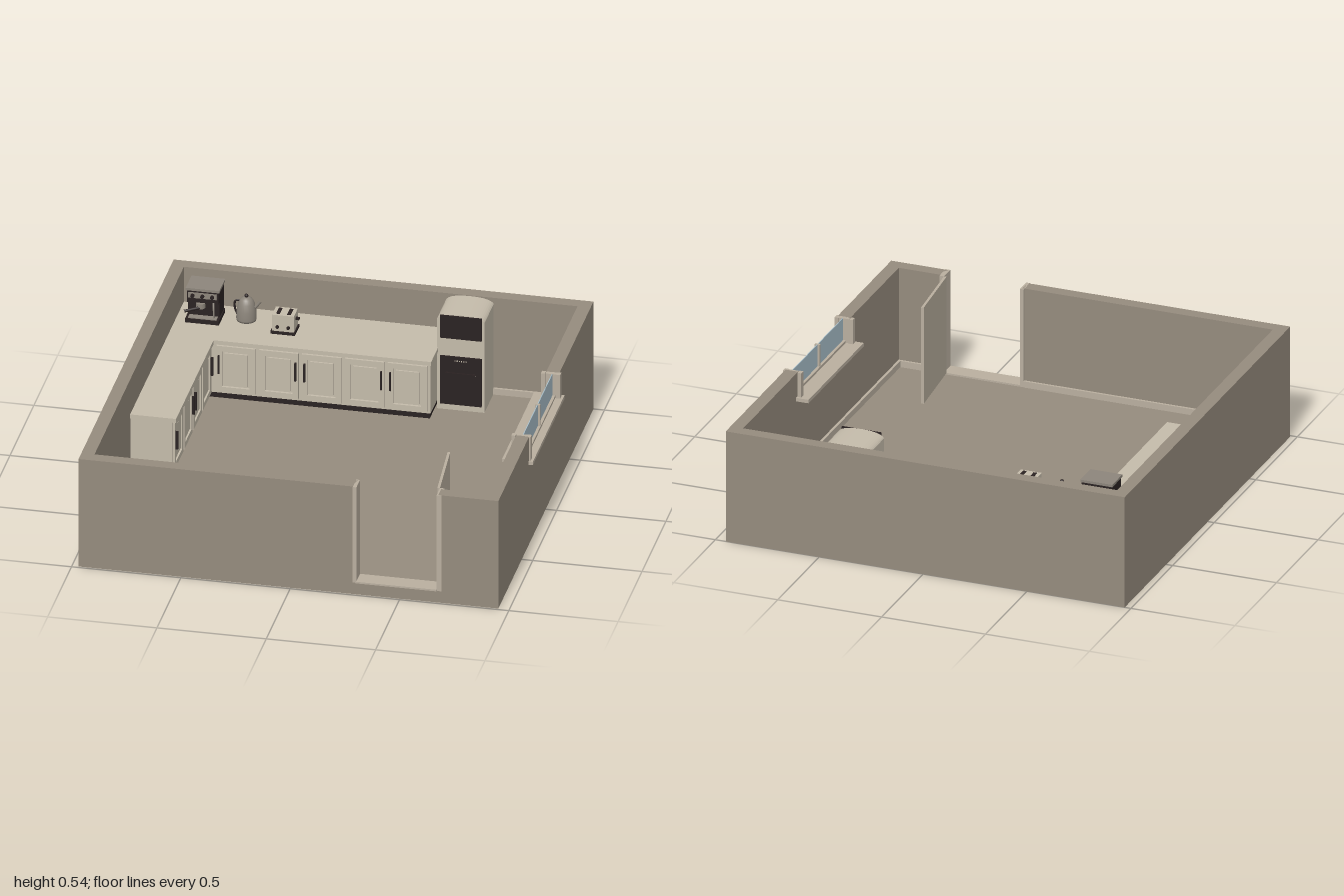
import * as THREE from 'three';

const mat = (name, color, side = THREE.FrontSide) => {
  const m = new THREE.MeshStandardMaterial({ color, side });
  m.name = name;
  return m;
};

export function createModel() {
  const root = new THREE.Group();
  root.name = 'kitchenRoom';
  const wall = mat('wall taupe', 0x958b7d);
  const trim = mat('trim beige', 0xb9af9f);
  const cream = mat('cabinet cream', 0xc4bbaa);
  const dark = mat('appliance black', 0x2a2222);
  const steel = mat('brushed steel', 0x8c857b);
  const glass = mat('window glass', 0xa9bfca, THREE.DoubleSide);

  const group = (name, parent = root) => {
    const g = new THREE.Group();
    g.name = name;
    parent.add(g);
    return g;
  };
  const add = (parent, name, geo, m, x = 0, y = 0, z = 0) => {
    const mesh = new THREE.Mesh(geo, m);
    mesh.name = name;
    mesh.position.set(x, y, z);
    parent.add(mesh);
    return mesh;
  };
  // Box given by its limits on each axis
  const box = (parent, name, m, x0, x1, y0, y1, z0, z1) =>
    add(parent, name, new THREE.BoxGeometry(x1 - x0, y1 - y0, z1 - z0), m,
      (x0 + x1) / 2, (y0 + y1) / 2, (z0 + z1) / 2);

  const F = 0.06, H = 0.54;

  // Floor and walls, with notches for the door and the window
  const shell = group('shell');
  box(shell, 'floor', wall, -0.97, 0.95, 0, F, -1, 0.99);
  box(shell, 'backWall', wall, -0.97, 0.95, F, H, -1, -0.94);
  box(shell, 'leftSideWall', wall, -0.97, -0.91, F, H, -0.94, 0.93);
  box(shell, 'frontWallLong', wall, -0.97, 0.295, F, H, 0.93, 0.99);
  box(shell, 'frontWallShort', wall, 0.675, 0.95, F, H, 0.93, 0.99);
  box(shell, 'windowWallBack', wall, 0.89, 0.95, F, H, -0.94, -0.28);
  box(shell, 'windowWallFront', wall, 0.89, 0.95, F, H, 0.345, 0.93);
  box(shell, 'windowWallBelow', wall, 0.89, 0.95, F, 0.41, -0.28, 0.345);

  // Baseboards
  const boards = group('baseboards');
  const B = F + 0.03, T = 0.012;
  box(boards, 'baseboard', trim, -0.91, -0.91 + T, F, B, 0.185, 0.93);
  box(boards, 'baseboard', trim, -0.898, 0.285, F, B, 0.93 - T, 0.93);
  box(boards, 'baseboard', trim, 0.69, 0.89, F, B, 0.93 - T, 0.93);
  box(boards, 'baseboard', trim, 0.89 - T, 0.89, F, B, -0.94, 0.93 - T);
  box(boards, 'baseboard', trim, 0.505, 0.89 - T, F, B, -0.94, -0.94 + T);

  // Doorway and open door leaf
  const door = group('doorway');
  box(door, 'threshold', trim, 0.3, 0.67, F, F + 0.008, 0.92, 1);
  box(door, 'doorJamb', trim, 0.285, 0.302, F, H, 0.92, 0.995);
  box(door, 'doorJamb', trim, 0.668, 0.69, F, H, 0.92, 0.995);
  const hinge = group('doorLeaf', door);
  hinge.position.set(0.662, 0, 0.92);
  hinge.rotation.y = 0.085;
  box(hinge, 'leafPanel', trim, -0.006, 0.006, F + 0.008, H, -0.35, 0);

  // Window
  const win = group('window');
  box(win, 'sill', trim, 0.83, 0.97, 0.405, 0.422, -0.305, 0.36);
  for (const [a, b] of [[-0.29, -0.27], [0.33, 0.35]]) {
    box(win, 'windowJamb', trim, 0.89, 0.94, 0.422, H, a, b);
    for (const x of [0.87, 0.94])
      box(win, 'windowCasing', trim, x, x + 0.018, 0.422, H, a - 0.003, b + 0.003);
  }
  box(win, 'bottomRail', trim, 0.905, 0.935, 0.422, 0.434, -0.27, 0.33);
  box(win, 'mullion', trim, 0.908, 0.932, 0.434, H, 0.024, 0.036);
  box(win, 'pane', glass, 0.918, 0.922, 0.434, H, -0.27, 0.024);
  box(win, 'pane', glass, 0.918, 0.922, 0.434, H, 0.036, 0.33);

  // Worktops, cabinet bodies and plinths
  const cab = group('cabinets');
  box(cab, 'backWorktop', cream, -0.91, 0.295, 0.345, 0.365, -0.94, -0.6);
  box(cab, 'sideWorktop', cream, -0.91, -0.7, 0.345, 0.365, -0.6, 0.185);
  box(cab, 'backCabinet', cream, -0.91, 0.288, 0.095, 0.345, -0.94, -0.62);
  box(cab, 'sideCabinet', cream, -0.91, -0.72, 0.095, 0.345, -0.62, 0.18);
  box(cab, 'backPlinth', dark, -0.91, 0.28, F, 0.095, -0.94, -0.64);
  box(cab, 'sidePlinth', dark, -0.91, -0.74, F, 0.095, -0.64, 0.17);

  // Framed cabinet door facing +z, centred on its own x; handle side is -1 or 1
  const cabinetDoor = (w, handleSide) => {
    const g = group('cabinetDoor', cab);
    const h = w / 2 - 0.008, y0 = 0.105, y1 = 0.335, r = 0.026;
    const s = new THREE.Shape([[-h, y0], [h, y0], [h, y1], [-h, y1]].map(p => new THREE.Vector2(...p)));
    s.holes.push(new THREE.Path([[-h + r, y0 + r], [-h + r, y1 - r], [h - r, y1 - r], [h - r, y0 + r]]
      .map(p => new THREE.Vector2(...p))));
    add(g, 'doorFrame', new THREE.ExtrudeGeometry(s, { depth: 0.012, bevelEnabled: false }), cream);
    box(g, 'doorInset', cream, -h + r + 0.01, h - r - 0.01, y0 + r + 0.01, y1 - r - 0.01, 0, 0.008);
    const x = handleSide * (h - 0.012);
    box(g, 'doorHandle', dark, x - 0.004, x + 0.004, 0.2, 0.29, 0.012, 0.024);
    return g;
  };
  [-1, 1, -1, 1, -1].forEach((side, i) => {
    cabinetDoor(0.195, side).position.set(-0.6 + i * 0.196, 0, -0.62);
  });
  [-1, 1, -1, 1].forEach((side, i) => {
    const d = cabinetDoor(0.193, side);
    d.position.set(-0.72, 0, 0.082 - i * 0.194);
    d.rotation.y = Math.PI / 2;
  });

  // Tall oven housing with a gently arched top
  const oven = group('ovenTower');
  const arch = new THREE.Shape();
  arch.moveTo(0.29, F);
  arch.lineTo(0.507, F);
  arch.lineTo(0.507, 0.51);
  arch.quadraticCurveTo(0.49, 0.537, 0.3985, 0.537);
  arch.quadraticCurveTo(0.307, 0.537, 0.29, 0.51);
  add(oven, 'towerBody', new THREE.ExtrudeGeometry(arch,
    { depth: 0.195, bevelEnabled: false, curveSegments: 10 }), cream, 0, 0, -0.94);
  box(oven, 'microwaveDoor', dark, 0.305, 0.495, 0.42, 0.533, -0.745, -0.737);
  box(oven, 'ovenDoor', dark, 0.305, 0.495, 0.09, 0.33, -0.745, -0.737);
  box(oven, 'ovenHandle', dark, 0.33, 0.47, 0.246, 0.254, -0.731, -0.724);
  for (const x of [0.338, 0.462])
    box(oven, 'handlePost', dark, x - 0.004, x + 0.004, 0.246, 0.254, -0.737, -0.731);
  box(oven, 'doorSeam', steel, 0.33, 0.47, 0.243, 0.246, -0.737, -0.734);
  for (let i = 0; i < 6; i++)
    box(oven, 'controlButton', cream, 0.372 + i * 0.01, 0.377 + i * 0.01, 0.308, 0.313, -0.737, -0.735);

  // Coffee machine
  const coffee = group('coffeeMachine');
  box(coffee, 'machineBase', dark, -0.862, -0.708, 0.365, 0.385, -0.88, -0.745);
  box(coffee, 'machineBody', dark, -0.857, -0.713, 0.385, 0.52, -0.875, -0.785);
  box(coffee, 'machineHead', dark, -0.857, -0.713, 0.46, 0.52, -0.785, -0.76);
  box(coffee, 'machineLid', steel, -0.862, -0.708, 0.52, 0.532, -0.88, -0.757);
  box(coffee, 'controlPanel', steel, -0.85, -0.72, 0.485, 0.512, -0.76, -0.756);
  box(coffee, 'dripGrille', steel, -0.85, -0.72, 0.385, 0.389, -0.783, -0.75);
  for (const x of [-0.83, -0.785, -0.74])
    add(coffee, 'dial', new THREE.CylinderGeometry(0.009, 0.009, 0.012, 12), dark, x, 0.498, -0.752)
      .rotation.x = Math.PI / 2;
  add(coffee, 'brewHead', new THREE.CylinderGeometry(0.022, 0.022, 0.025, 16), steel, -0.795, 0.45, -0.765);
  const bar = (parent, name, m, r, pts) => add(parent, name, new THREE.TubeGeometry(
    new THREE.CatmullRomCurve3(pts.map(p => new THREE.Vector3(...p))), 12, r, 8), m);
  bar(coffee, 'filterHandle', dark, 0.007, [[-0.795, 0.443, -0.75], [-0.83, 0.44, -0.73], [-0.86, 0.437, -0.712]]);
  bar(coffee, 'steamWand', steel, 0.004, [[-0.735, 0.47, -0.758], [-0.732, 0.44, -0.747], [-0.73, 0.4, -0.745]]);

  // Kettle
  const kettle = group('kettle');
  kettle.position.set(-0.6, 0.365, -0.83);
  const profile = [[0, 0], [0.044, 0], [0.046, 0.01], [0.044, 0.05], [0.037, 0.085], [0.026, 0.105], [0.012, 0.113], [0, 0.114]];
  add(kettle, 'kettleBody', new THREE.LatheGeometry(profile.map(p => new THREE.Vector2(...p)), 24), steel);
  add(kettle, 'kettleKnob', new THREE.SphereGeometry(0.009, 12, 8), dark, 0, 0.12, 0);
  bar(kettle, 'kettleSpout', steel, 0.007, [[0.035, 0.06, 0], [0.05, 0.078, 0], [0.064, 0.098, 0]]);
  bar(kettle, 'kettleHandle', dark, 0.005, [[-0.03, 0.095, 0], [-0.05, 0.09, 0], [-0.053, 0.055, 0], [-0.042, 0.025, 0]]);

  // Toaster
  const toaster = group('toaster');
  box(toaster, 'toasterBase', dark, -0.466, -0.354, 0.365, 0.378, -0.812, -0.718);
  box(toaster, 'toasterBody', cream, -0.46, -0.36, 0.378, 0.458, -0.806, -0.724);
  for (const x of [-0.435, -0.385])
    box(toaster, 'breadSlot', dark, x - 0.008, x + 0.008, 0.458, 0.461, -0.793, -0.737);
  box(toaster, 'toasterLever', dark, -0.36, -0.343, 0.425, 0.435, -0.772, -0.758);
  for (const x of [-0.435, -0.385])
    add(toaster, 'toasterDial', new THREE.CylinderGeometry(0.008, 0.008, 0.008, 12), dark, x, 0.4, -0.721)
      .rotation.x = Math.PI / 2;

  return root;
}
